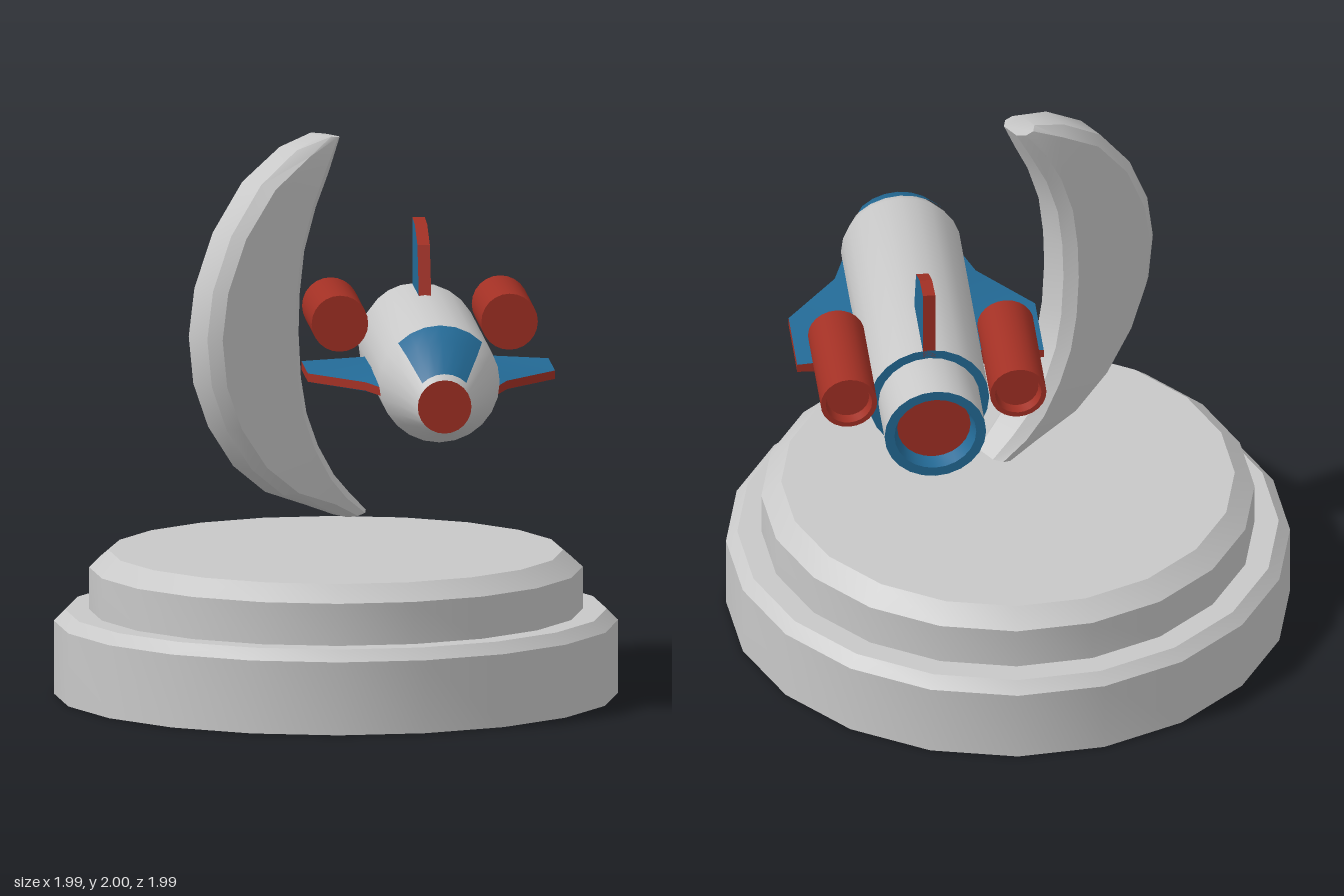
import * as THREE from 'three';
import { toCreasedNormals } from 'three/addons/utils/BufferGeometryUtils.js';

const material = (name, color) => {
  const m = new THREE.MeshStandardMaterial({ color });
  m.name = name;
  return m;
};

export function createModel() {
  const grey = material('light grey', 0xc8c8c8);
  const red = material('red', 0xa23024);
  const blue = material('blue', 0x236a96);

  const model = new THREE.Group();
  model.name = 'shuttleTrophy';

  const add = (parent, name, geometry, mat) => {
    const mesh = new THREE.Mesh(geometry, mat);
    mesh.name = name;
    parent.add(mesh);
    return mesh;
  };

  // Geometry from a list of polygons (each fanned from its first corner)
  const faces = (polygons, crease = 0.6) => {
    const pos = [];
    for (const p of polygons)
      for (let i = 1; i < p.length - 1; i++) pos.push(...p[0], ...p[i], ...p[i + 1]);
    const g = new THREE.BufferGeometry();
    g.setAttribute('position', new THREE.Float32BufferAttribute(pos, 3));
    return toCreasedNormals(g, crease);
  };

  // Skin between cross-sections, optionally closed around and capped
  const loft = (sections, closed = true, capped = false) => {
    const polys = [];
    const n = sections[0].length;
    for (let i = 0; i < sections.length - 1; i++)
      for (let j = 0; j < (closed ? n : n - 1); j++) {
        const k = (j + 1) % n;
        polys.push([sections[i][j], sections[i][k], sections[i + 1][k], sections[i + 1][j]]);
      }
    if (capped) polys.push([...sections[0]].reverse(), sections[sections.length - 1]);
    return faces(polys);
  };

  const lathe = (points, segments) => toCreasedNormals(
    new THREE.LatheGeometry(points.map(([r, y]) => new THREE.Vector2(r, y)), segments), 0.5);

  // Two-tier bevelled pedestal
  add(model, 'pedestal', lathe([[0, 0], [0.995, 0], [0.995, 0.26], [0.955, 0.3], [0.87, 0.3],
    [0.87, 0.45], [0.8, 0.51], [0, 0.51]], 20), grey);

  // Crescent: [outer z, outer y, inner z, inner y, half width]
  const stations = [
    [0.09, 2.0, 0.01, 1.99, 0.06], [0.21, 1.96, 0.07, 1.87, 0.085], [0.37, 1.85, 0.13, 1.75, 0.092],
    [0.5, 1.68, 0.18, 1.6, 0.092], [0.58, 1.49, 0.2, 1.45, 0.092], [0.605, 1.32, 0.205, 1.31, 0.092],
    [0.585, 1.15, 0.195, 1.15, 0.092], [0.52, 0.99, 0.17, 1.02, 0.092], [0.41, 0.84, 0.12, 0.9, 0.092],
    [0.27, 0.735, 0.05, 0.79, 0.092], [0.1, 0.675, -0.02, 0.72, 0.085], [-0.02, 0.63, -0.1, 0.65, 0.07],
  ];
  const crescentRings = stations.map(([oz, oy, iz, iy, w]) => {
    const bevel = Math.min(0.3, 0.04 / Math.hypot(oz - iz, oy - iy));
    const at = (x, t) => [x, oy + (iy - oy) * t, oz + (iz - oz) * t];
    const n = w * 0.6;
    return [at(w, 1 - bevel), at(w, bevel), at(n, 0), at(-n, 0),
      at(-w, bevel), at(-w, 1 - bevel), at(-n, 1), at(n, 1)];
  });
  add(model, 'crescent', loft(crescentRings, true, true), grey);

  // Shuttle: built along local +x from its tail, then turned
  const shuttle = new THREE.Group();
  shuttle.name = 'shuttle';
  shuttle.position.set(-0.39, 0, -0.63);
  shuttle.rotation.y = -32 * Math.PI / 180;
  model.add(shuttle);

  const arc = (x, y, r, from = 0, to = 2 * Math.PI, count = 24, closed = true) =>
    Array.from({ length: closed ? count : count + 1 }, (_, i) => {
      const a = from + (to - from) * i / count;
      return [x, y + r * Math.cos(a), r * Math.sin(a)];
    });

  // Hull and drooped nose
  const CY = 1.177;
  add(shuttle, 'hull', loft([arc(0.21, CY, 0.213), arc(1.155, CY, 0.213),
    arc(1.265, 1.165, 0.172), arc(1.384, 1.125, 0.095)]), grey);
  add(shuttle, 'noseCap', faces([arc(1.384, 1.125, 0.095)]), red);
  const q = Math.PI / 4;
  add(shuttle, 'canopy', loft([arc(1.18, 1.175, 0.21, -q, q, 6, false),
    arc(1.265, 1.165, 0.178, -q, q, 6, false), arc(1.37, 1.13, 0.11, -q, q, 6, false)], false), blue);

  // Round parts along the hull axis
  const turned = (name, points, mat, y = CY, z = 0) => {
    const mesh = add(shuttle, name, lathe(points, 24).rotateZ(-Math.PI / 2), mat);
    mesh.position.set(0, y, z);
  };
  turned('hullBackRing', [[0.17, 0.21], [0.213, 0.21]], blue);
  turned('nozzleWall', [[0.18, 0], [0.18, 0.21]], grey);
  turned('nozzleRim', [[0.13, 0.05], [0.145, 0], [0.18, 0]], blue);
  turned('nozzleDisc', [[0, 0.05], [0.13, 0.05]], red);
  for (const side of [1, -1])
    turned(side > 0 ? 'rightBooster' : 'leftBooster', [[0, 0.04], [0.075, 0.04], [0.082, 0], [0.1, 0],
      [0.1, 0.487], [0, 0.487]].map(([r, x]) => [r, 0.057 + x * 0.433 / 0.487]), red, 1.29, 0.3 * side);

  // Wings: thick at the root, thin red edge; [x, tip z, root half thickness]
  const plan = [[0.5, 0.437, 0.03], [0.79, 0.437, 0.037], [1.015, 0.25, 0.03], [1.16, 0.2, 0.016]];
  const WY = 1.145;
  const root = (i, s) => [plan[i][0], WY + s * plan[i][2], 0.18];
  const tip = (i, s) => [plan[i][0], WY + s * 0.015, plan[i][1]];
  const skin = [];
  const edge = [[root(0, -1), tip(0, -1), tip(0, 1), root(0, 1)]];
  for (let i = 0; i < plan.length - 1; i++) {
    skin.push([root(i, 1), tip(i, 1), tip(i + 1, 1), root(i + 1, 1)]);
    skin.push([root(i + 1, -1), tip(i + 1, -1), tip(i, -1), root(i, -1)]);
    edge.push([tip(i, -1), tip(i + 1, -1), tip(i + 1, 1), tip(i, 1)]);
  }
  for (const side of [1, -1]) {
    const wing = new THREE.Group();
    wing.name = side > 0 ? 'rightWing' : 'leftWing';
    wing.scale.z = side;
    add(wing, 'wingSkin', faces(skin, 0.3), blue);
    add(wing, 'wingEdge', faces(edge, 0.3), red);
    shuttle.add(wing);
  }

  // Tail fin: blue sides, red edge
  const finShape = new THREE.Shape([[0.21, 1.36], [0.51, 1.36], [0.44, 1.56], [0.32, 1.615], [0.21, 1.625]]
    .map(([x, y]) => new THREE.Vector2(x, y)));
  const fin = new THREE.ExtrudeGeometry(finShape, { depth: 0.044, bevelEnabled: false });
  add(shuttle, 'tailFin', fin.translate(0, 0, -0.022), [blue, red]);

  return model;
}
